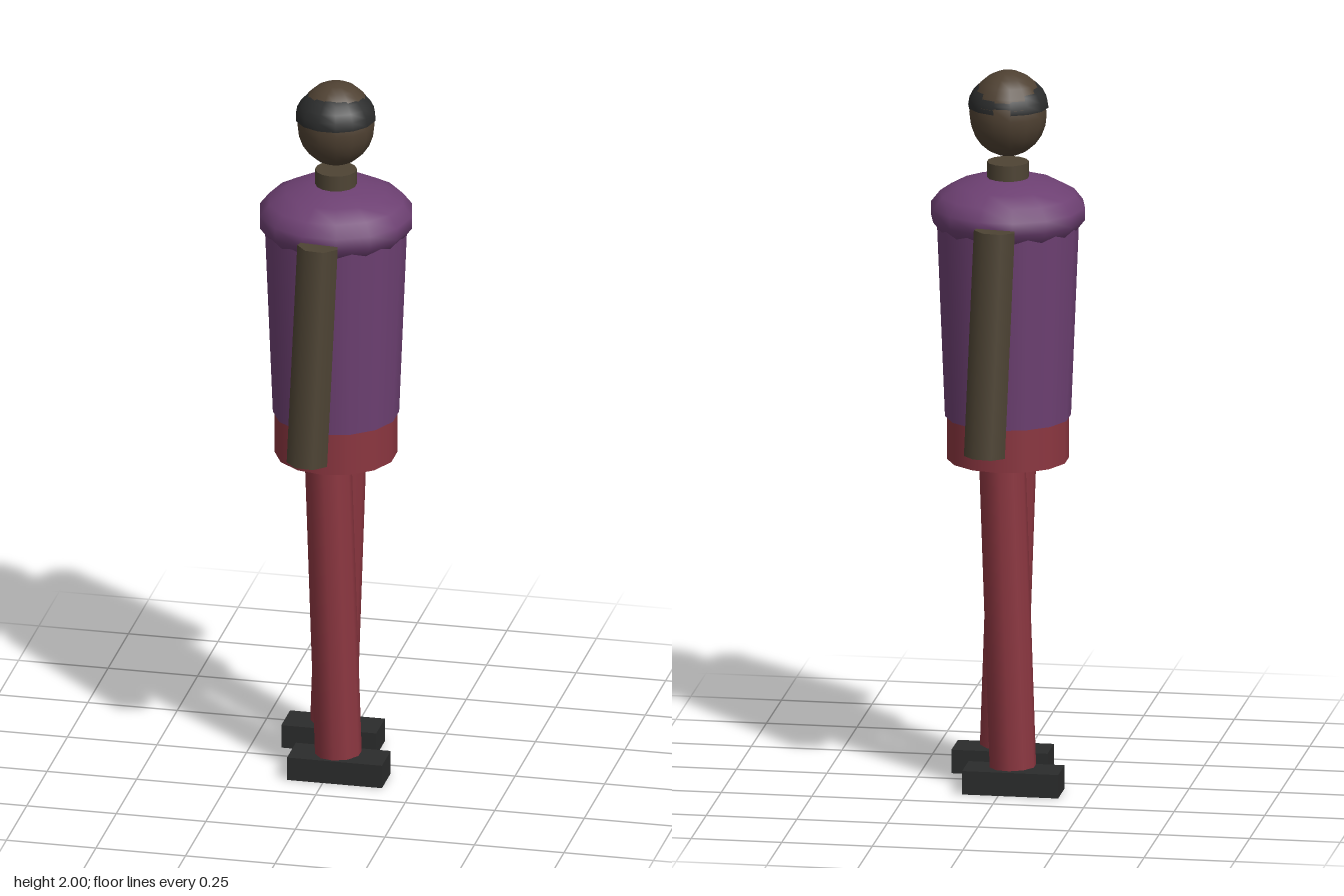
import * as THREE from 'three';

const mat = (name, color, side = THREE.FrontSide) => {
  const m = new THREE.MeshStandardMaterial({ color, side });
  m.name = name;
  return m;
};

export function createModel() {
  const model = new THREE.Group();
  model.name = 'standingFigure';

  const face = mat('face skin', 0x4f4132);
  const skin = mat('arm skin', 0x4e4434);
  const shirt = mat('purple shirt', 0x6d4072);
  const trousers = mat('red trousers', 0x8b3640);
  const dark = mat('charcoal', 0x2b2c2c, THREE.DoubleSide);

  const add = (name, geometry, material, x, y, z, parent = model) => {
    const mesh = new THREE.Mesh(geometry, material);
    mesh.name = name;
    mesh.position.set(x, y, z);
    parent.add(mesh);
    return mesh;
  };

  // straight limb between two points
  const limb = (name, top, bottom, radius, sides, spin, material, parent) => {
    const a = new THREE.Vector3(...top), b = new THREE.Vector3(...bottom);
    const geo = new THREE.CylinderGeometry(radius, radius, a.distanceTo(b), sides);
    geo.rotateY(spin);
    const mid = a.clone().add(b).multiplyScalar(0.5);
    const mesh = add(name, geo, material, mid.x, mid.y, mid.z, parent);
    mesh.quaternion.setFromUnitVectors(new THREE.Vector3(0, 1, 0), a.sub(b).normalize());
  };

  // head with a low cap of hair that leaves the crown bare
  add('head', new THREE.SphereGeometry(1, 14, 12), face, 0, 1.881, 0).scale.set(0.107, 0.119, 0.107);
  const hair = new THREE.SphereGeometry(1, 14, 6, 0, Math.PI * 2, 0, Math.PI / 2);
  add('hair', hair, dark, 0, 1.899, 0.006).scale.set(0.111, 0.088, 0.111);
  add('neck', new THREE.CylinderGeometry(0.057, 0.057, 0.1, 14), skin, 0, 1.695, 0);

  // body
  add('shoulders', new THREE.SphereGeometry(1, 14, 9), shirt, 0, 1.606, 0).scale.set(0.216, 0.1, 0.216);
  add('torso', new THREE.CylinderGeometry(0.196, 0.172, 0.6, 14), shirt, 0, 1.33, 0);
  add('hips', new THREE.CylinderGeometry(0.167, 0.167, 0.16, 14), trousers, 0, 0.99, 0);

  // limbs of one side, repeated by a half turn so that the stride alternates
  for (const [side, turn] of [['near', 0], ['far', Math.PI]]) {
    const half = new THREE.Group();
    half.name = side + 'Limbs';
    half.rotation.y = turn;
    model.add(half);
    limb(side + 'Arm', [0, 1.605, 0.215], [-0.021, 0.978, 0.253], 0.058, 7, Math.PI / 7, skin, half);
    limb(side + 'Leg', [0, 0.96, 0.1], [0.032, 0.073, 0.112], 0.064, 10, 0, trousers, half);
    add(side + 'Shoe', new THREE.BoxGeometry(0.265, 0.066, 0.108), dark, 0.033, 0.033, 0.11, half);
  }
  return model;
}
